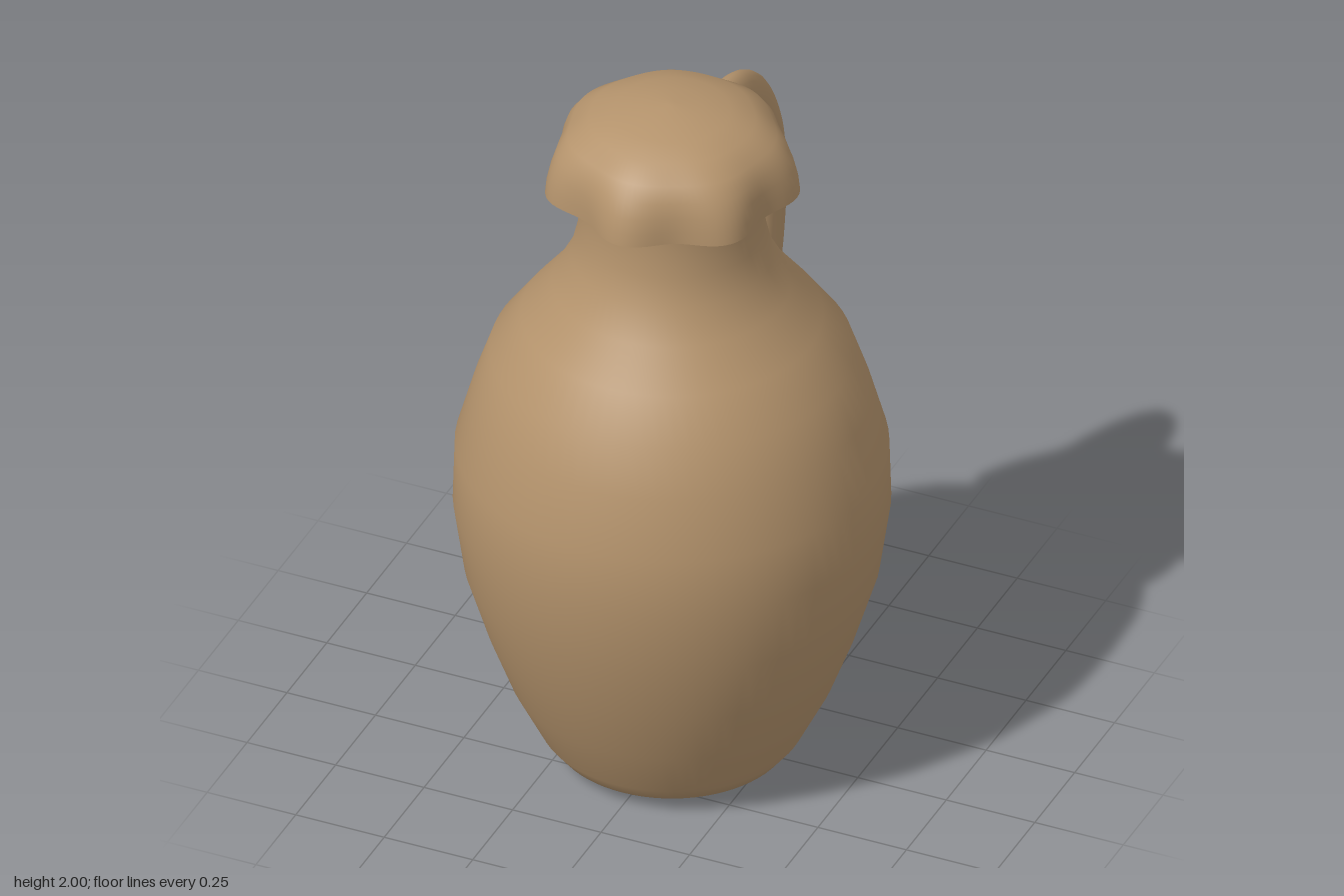
import * as THREE from 'three';
import { mergeVertices } from 'three/addons/utils/BufferGeometryUtils.js';

const CENTRE_Z = 0.055;

// Lathe from [radius, height] pairs, listed bottom to top
function lathe(profile, segments) {
  return new THREE.LatheGeometry(profile.map(([r, y]) => new THREE.Vector2(r, y)), segments);
}

export function createModel() {
  const clay = new THREE.MeshStandardMaterial({ color: 0xb4936c, side: THREE.DoubleSide });
  clay.name = 'clay';
  const model = new THREE.Group();
  model.name = 'jug';

  function add(name, geometry, parent = model) {
    const mesh = new THREE.Mesh(geometry, clay);
    mesh.name = name;
    parent.add(mesh);
    return mesh;
  }

  // Round body and neck, with the neck running up into the cover
  const body = add('body', lathe([
    [0, 0.005], [0.15, 0.01], [0.25, 0.02], [0.31, 0.045], [0.345, 0.09], [0.42, 0.24],
    [0.48, 0.4], [0.537, 0.585], [0.565, 0.78], [0.56, 0.95], [0.515, 1.11],
    [0.47, 1.24], [0.39, 1.35], [0.31, 1.45], [0.262, 1.54], [0.243, 1.62],
    [0.237, 1.7], [0.24, 1.76], [0.25, 1.86],
  ], 72));
  body.position.z = CENTRE_Z;

  // Draped cover: a hollow dome whose rim ripples into seven folds
  const dome = lathe([
    [0.316, 1.765], [0.314, 1.8], [0.307, 1.84], [0.294, 1.88], [0.268, 1.92],
    [0.215, 1.958], [0.15, 1.98], [0.08, 1.995], [0.012, 2], [0, 2],
  ], 112);
  const pos = dome.attributes.position;
  for (let i = 0; i < pos.count; i++) {
    const x = pos.getX(i), y = pos.getY(i), z = pos.getZ(i);
    const drop = THREE.MathUtils.clamp((1.98 - y) / 0.2, 0, 1);
    const k = 1 + 0.06 * drop * Math.cos(7 * Math.atan2(x, z));
    pos.setXYZ(i, x * k, y, z * k);
  }
  dome.deleteAttribute('uv');
  dome.deleteAttribute('normal');
  const coverGeometry = mergeVertices(dome);
  coverGeometry.computeVertexNormals();
  add('cover', coverGeometry).position.z = CENTRE_Z;

  // Handle: an arched tube, narrowed sideways to an oval section
  const handle = new THREE.Group();
  handle.name = 'handle';
  model.add(handle);
  const path = new THREE.CatmullRomCurve3([
    [1.79, -0.18], [1.787, -0.26], [1.765, -0.345], [1.7, -0.433], [1.565, -0.512],
    [1.395, -0.54], [1.25, -0.527], [1.135, -0.503],
  ].map(([y, z]) => new THREE.Vector3(0, y, z)));
  const radius = 0.077, narrow = 0.58;
  add('handleArch', new THREE.TubeGeometry(path, 48, radius, 24).scale(narrow, 1, 1), handle);

  // Rounded lower tip of the handle
  const tip = add('handleTip', new THREE.SphereGeometry(radius, 24, 16).scale(narrow, 1, 1), handle);
  tip.position.copy(path.getPoint(1));

  return model;
}
